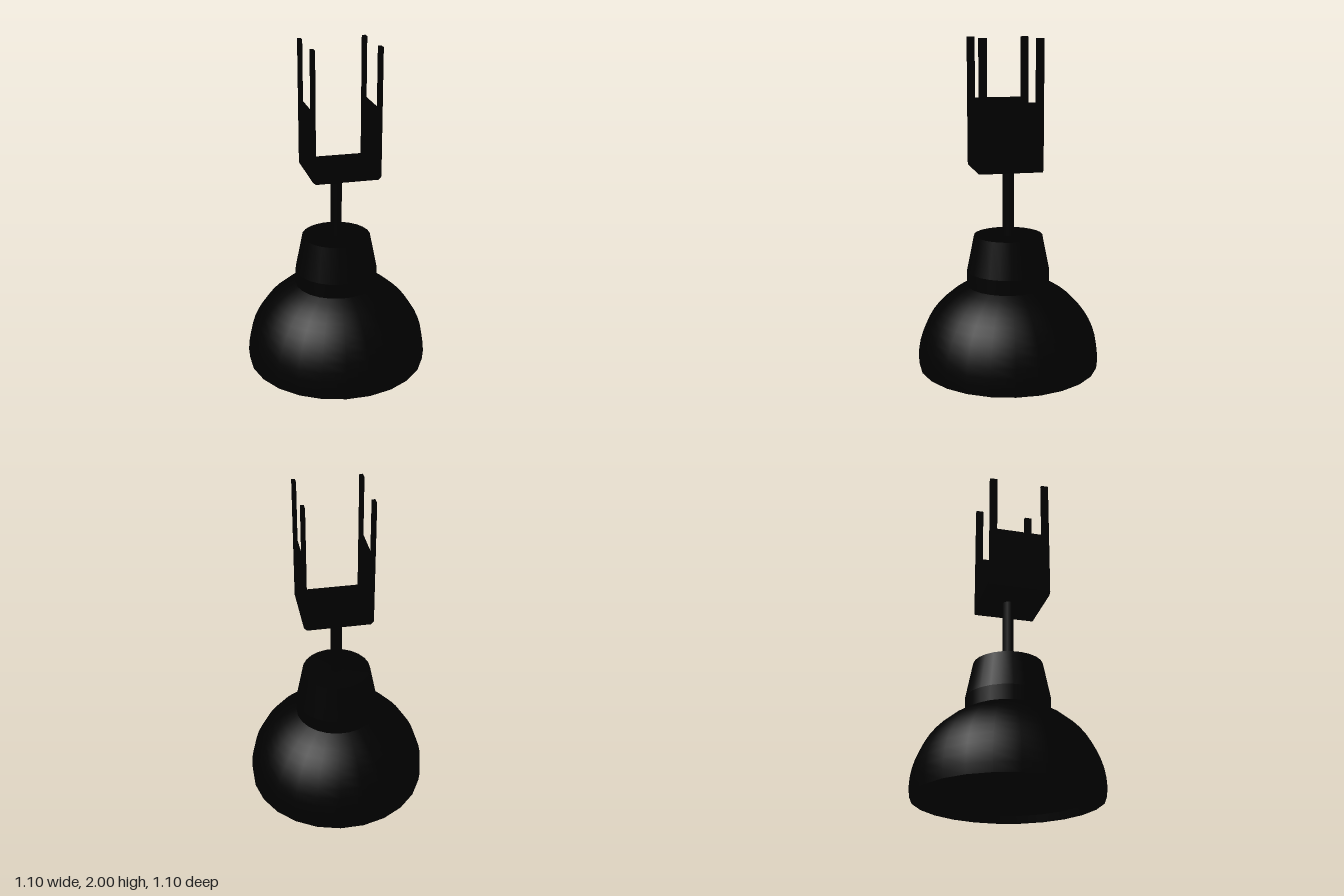
import * as THREE from 'three';

export function createModel() {
  const model = new THREE.Group();
  const black = new THREE.MeshStandardMaterial({ color: 0x000000 });
  const SIDES = 24;

  const add = (name, geometry, parent = model) => {
    const mesh = new THREE.Mesh(geometry, black);
    mesh.name = name;
    parent.add(mesh);
    return mesh;
  };
  const lathe = (name, points, parent) =>
    add(name, new THREE.LatheGeometry(points.map(p => new THREE.Vector2(...p)), SIDES, Math.PI / SIDES), parent);

  // Points up the side of a flattened dome
  const dome = (rx, ry, y0, top, n = 10) => Array.from({ length: n + 1 }, (_, i) => {
    const a = top * i / n;
    return [rx * Math.cos(a), y0 + ry * Math.sin(a)];
  });

  // Shade: outer skin, thin rim, short inner wall and a recessed flat cover
  const shade = new THREE.Group();
  shade.name = 'shade';
  model.add(shade);
  lathe('shadeOuter', [[0.55, 0], ...dome(0.555, 0.51, 0.055, 1.12)], shade);
  lathe('shadeRim', [[0.525, 0], [0.55, 0]], shade);
  lathe('shadeInnerWall', [[0.515, 0.04], [0.525, 0]], shade);
  lathe('shadeCover', [[0, 0.04], [0.515, 0.04]], shade);

  // Tapered neck: straight collar, cone and flat top
  const neck = new THREE.Group();
  neck.name = 'neck';
  model.add(neck);
  lathe('neckCollar', [[0.252, 0.49], [0.252, 0.6]], neck);
  lathe('neckCone', [[0.252, 0.6], [0.208, 0.82]], neck);
  lathe('neckTop', [[0.208, 0.82], [0, 0.82]], neck);

  // Eight-sided stem between neck and bracket
  const stem = add('stem', new THREE.CylinderGeometry(0.0346, 0.0346, 0.43, 8));
  stem.position.y = 1.025;
  stem.rotation.y = Math.PI / 8;

  // U-shaped bracket, slightly off centre, with bevelled lower corners
  const bracket = new THREE.Group();
  bracket.name = 'bracket';
  bracket.position.set(0.013, 1.23, 0.025);
  model.add(bracket);
  const half = 0.204, wall = 0.021, depth = 0.376, plateTop = 0.407, bevel = 0.018;
  const profile = new THREE.Shape([
    [-half + bevel, 0], [half - bevel, 0], [half, bevel], [half, plateTop],
    [half - wall, plateTop], [half - wall, 0.045], [-half + wall, 0.045],
    [-half + wall, plateTop], [-half, plateTop], [-half, bevel],
  ].map(p => new THREE.Vector2(...p)));
  const channel = new THREE.ExtrudeGeometry(profile, { depth, bevelEnabled: false });
  channel.translate(0, 0, -depth / 2);
  add('channel', channel, bracket);

  // Four prongs rising from the corners of the side plates
  const prongHeight = 0.77 - plateTop, prongWidth = 0.045;
  for (const sx of [-1, 1]) {
    for (const sz of [-1, 1]) {
      add('prong', new THREE.BoxGeometry(wall, prongHeight, prongWidth), bracket)
        .position.set(sx * (half - wall / 2), plateTop + prongHeight / 2, sz * (depth - prongWidth) / 2);
    }
  }
  return model;
}
